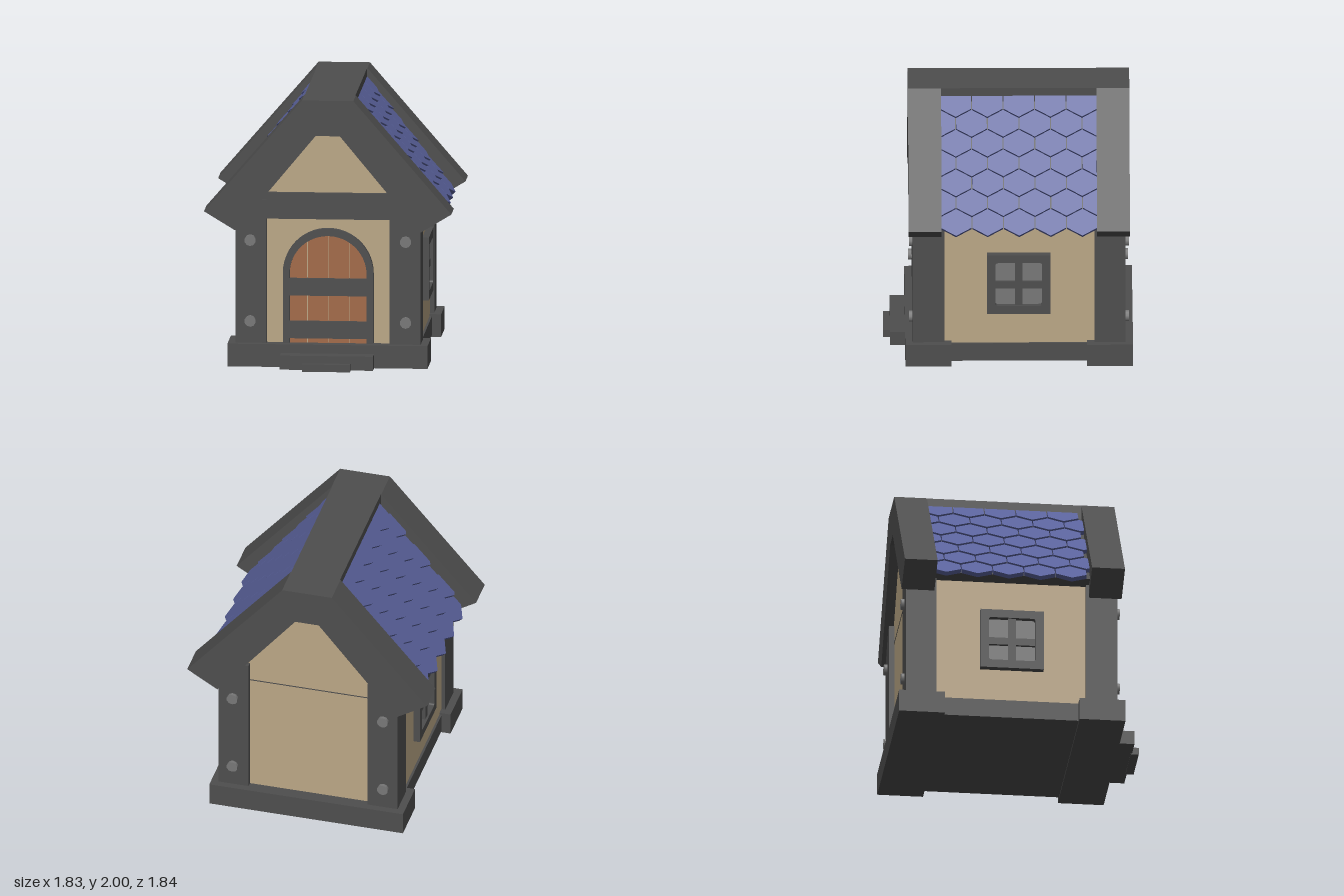
import * as THREE from 'three';

const material = (name, color) => {
  const m = new THREE.MeshStandardMaterial({ color });
  m.name = name;
  return m;
};

export function createModel() {
  const timber = material('dark timber', 0x4e4e4e);
  const plaster = material('tan plaster', 0xbba786);
  const slate = material('blue roof tile', 0x5a629c);
  const wood = material('door wood', 0xa36a48);
  const iron = material('light grey', 0x787878);

  const house = new THREE.Group();
  house.name = 'house';

  const add = (parent, name, geometry, mat) => {
    const mesh = new THREE.Mesh(geometry, mat);
    mesh.name = name;
    parent.add(mesh);
    return mesh;
  };
  // Box given by its limits on each axis
  const box = (parent, name, mat, x0, x1, y0, y1, z0, z1) => {
    const mesh = add(parent, name, new THREE.BoxGeometry(x1 - x0, y1 - y0, z1 - z0), mat);
    mesh.position.set((x0 + x1) / 2, (y0 + y1) / 2, (z0 + z1) / 2);
    return mesh;
  };
  const polygon = (pts) => new THREE.Shape(pts.map(([x, y]) => new THREE.Vector2(x, y)));
  // Closed outline from its right half, mirrored in x
  const mirrored = (half) => polygon([...half, ...half.map(([x, y]) => [-x, y]).reverse()]);
  const extrude = (shape, z0, z1) =>
    new THREE.ExtrudeGeometry(shape, { depth: z1 - z0, bevelEnabled: false, curveSegments: 20 }).translate(0, 0, z0);

  // Base and steps
  box(house, 'frontBase', timber, -0.74, 0.74, 0.005, 0.175, 0.42, 0.76);
  box(house, 'backBase', timber, -0.74, 0.74, 0.005, 0.175, -0.92, -0.58);
  box(house, 'middleBase', timber, -0.672, 0.672, 0.02, 0.16, -0.58, 0.42);
  box(house, 'upperStep', timber, -0.345, 0.345, 0.005, 0.11, 0.75, 0.87);
  box(house, 'lowerStep', timber, -0.177, 0.177, 0, 0.055, 0.86, 0.92);

  // Walls with both gables
  add(house, 'walls', extrude(mirrored([[0.655, 0.1], [0.655, 1.16], [0.12, 1.8]]), -0.825, 0.66), plaster);
  box(house, 'backWallSeam', timber, -0.47, 0.47, 1.1, 1.107, -0.828, -0.82);
  box(house, 'frontBeam', timber, -0.5, 0.5, 1.105, 1.3, 0.6, 0.7);

  // Corner posts with bolts
  for (const side of [-1, 1]) {
    for (const [z0, z1, boltZ] of [[0.472, 0.705, 0.715], [-0.865, -0.637, -0.873]]) {
      const x = side * 0.57;
      box(house, 'cornerPost', timber, x - 0.115, x + 0.115, 0.15, 1.25, z0, z1);
      for (const y of [0.34, 0.945]) {
        const bolt = add(house, 'bolt', new THREE.CylinderGeometry(0.042, 0.042, 0.034, 10), iron);
        bolt.rotation.x = Math.PI / 2;
        bolt.position.set(side * 0.575, y, boltZ);
      }
    }
  }

  // Roof frames, ridge and the deck below the tiles
  const frame = mirrored([[0.09, 1.735], [0.45, 1.3], [0.685, 1.02], [0.915, 1.16], [0.19, 2]]);
  add(house, 'frontRoofFrame', extrude(frame, 0.493, 0.737), timber);
  add(house, 'backRoofFrame', extrude(frame, -0.896, -0.653), timber);
  box(house, 'ridge', timber, -0.187, 0.187, 1.86, 2, -0.7, 0.55);
  const deck = mirrored([[0.1, 1.74], [0.655, 1.12], [0.78, 1.128], [0.165, 1.92]]);
  add(house, 'roofDeck', extrude(deck, -0.7, 0.55), timber);

  // Hexagonal roof tiles, each leaning a little under the row above
  const pitch = 0.233, rowStep = 0.151, taper = 0.062, w = pitch / 2 - 0.004;
  const rows = 7, shoulder = rowStep - 0.004, tip = shoulder + taper;
  const hexTile = extrude(polygon([[0, 0], [w, taper], [w, shoulder], [0, tip], [-w, shoulder], [-w, taper]]), -0.032, 0);
  const topTile = extrude(polygon([[0, 0], [w, taper], [w, tip], [-w, tip], [-w, taper]]), -0.032, 0);
  for (const side of [-1, 1]) {
    const roofSide = new THREE.Group();
    roofSide.name = side > 0 ? 'leftRoofTiles' : 'rightRoofTiles';
    roofSide.rotation.y = side * Math.PI / 2;
    roofSide.position.z = side > 0 ? -0.08 : -0.115;
    house.add(roofSide);
    const slope = new THREE.Group();
    slope.name = 'tileSlope';
    slope.position.set(0, 1.1, 0.85);
    slope.rotation.x = -Math.atan2(0.665, 0.86);
    roofSide.add(slope);
    for (let r = 0; r < rows; r++) {
      const count = r % 2 ? 6 : 5;
      for (let i = 0; i < count; i++) {
        const tile = add(slope, 'roofTile', r === rows - 1 ? topTile : hexTile, slate);
        tile.position.set((i - (count - 1) / 2) * pitch, r * rowStep, 0);
        tile.rotation.x = -0.07;
      }
    }
  }

  // Arched door
  const door = new THREE.Group();
  door.name = 'door';
  house.add(door);
  const surround = new THREE.Shape();
  surround.moveTo(0.335, 0.15);
  surround.lineTo(0.335, 0.7);
  surround.absarc(0, 0.7, 0.335, 0, Math.PI, false);
  surround.lineTo(-0.335, 0.15);
  surround.lineTo(-0.285, 0.15);
  surround.lineTo(-0.285, 0.695);
  surround.absarc(0, 0.695, 0.285, Math.PI, 0, true);
  surround.lineTo(0.285, 0.15);
  add(door, 'doorSurround', extrude(surround, 0.64, 0.703), timber);

  // Planks follow the arch at the top
  const edges = [-0.29, -0.155, 0, 0.155, 0.29];
  for (let i = 0; i < 4; i++) {
    const a = edges[i] + 0.003, b = edges[i + 1] - 0.003;
    const pts = [[a, 0.15], [b, 0.15]];
    for (let k = 6; k >= 0; k--) {
      const x = a + (b - a) * k / 6;
      pts.push([x, 0.695 + Math.sqrt(0.295 ** 2 - x * x)]);
    }
    add(door, 'doorPlank', extrude(polygon(pts), 0.65, 0.674), wood);
  }
  box(door, 'upperDoorBand', timber, -0.29, 0.29, 0.53, 0.66, 0.65, 0.694);
  box(door, 'lowerDoorBand', timber, -0.29, 0.29, 0.21, 0.34, 0.65, 0.694);

  // Side windows
  const outline = polygon([[-0.235, -0.235], [0.235, -0.235], [0.235, 0.235], [-0.235, 0.235]]);
  const h = 0.172, c = 0.02, hole = new THREE.Path();
  hole.moveTo(-h + c, -h);
  hole.lineTo(h - c, -h);
  hole.quadraticCurveTo(h, -h, h, -h + c);
  hole.lineTo(h, h - c);
  hole.quadraticCurveTo(h, h, h - c, h);
  hole.lineTo(-h + c, h);
  hole.quadraticCurveTo(-h, h, -h, h - c);
  hole.lineTo(-h, -h + c);
  hole.quadraticCurveTo(-h, -h, -h + c, -h);
  outline.holes.push(hole);
  for (const side of [-1, 1]) {
    const win = new THREE.Group();
    win.name = side > 0 ? 'leftWindow' : 'rightWindow';
    win.rotation.y = side * Math.PI / 2;
    win.position.set(0, 0.645, -0.077);
    house.add(win);
    add(win, 'windowFrame', extrude(outline, 0.64, 0.705), timber);
    box(win, 'windowPane', iron, -0.18, 0.18, -0.18, 0.18, 0.656, 0.664);
    box(win, 'verticalBar', timber, -0.028, 0.028, -0.18, 0.18, 0.65, 0.69);
    box(win, 'horizontalBar', timber, -0.18, 0.18, -0.04, 0.016, 0.65, 0.688);
  }

  return house;
}
